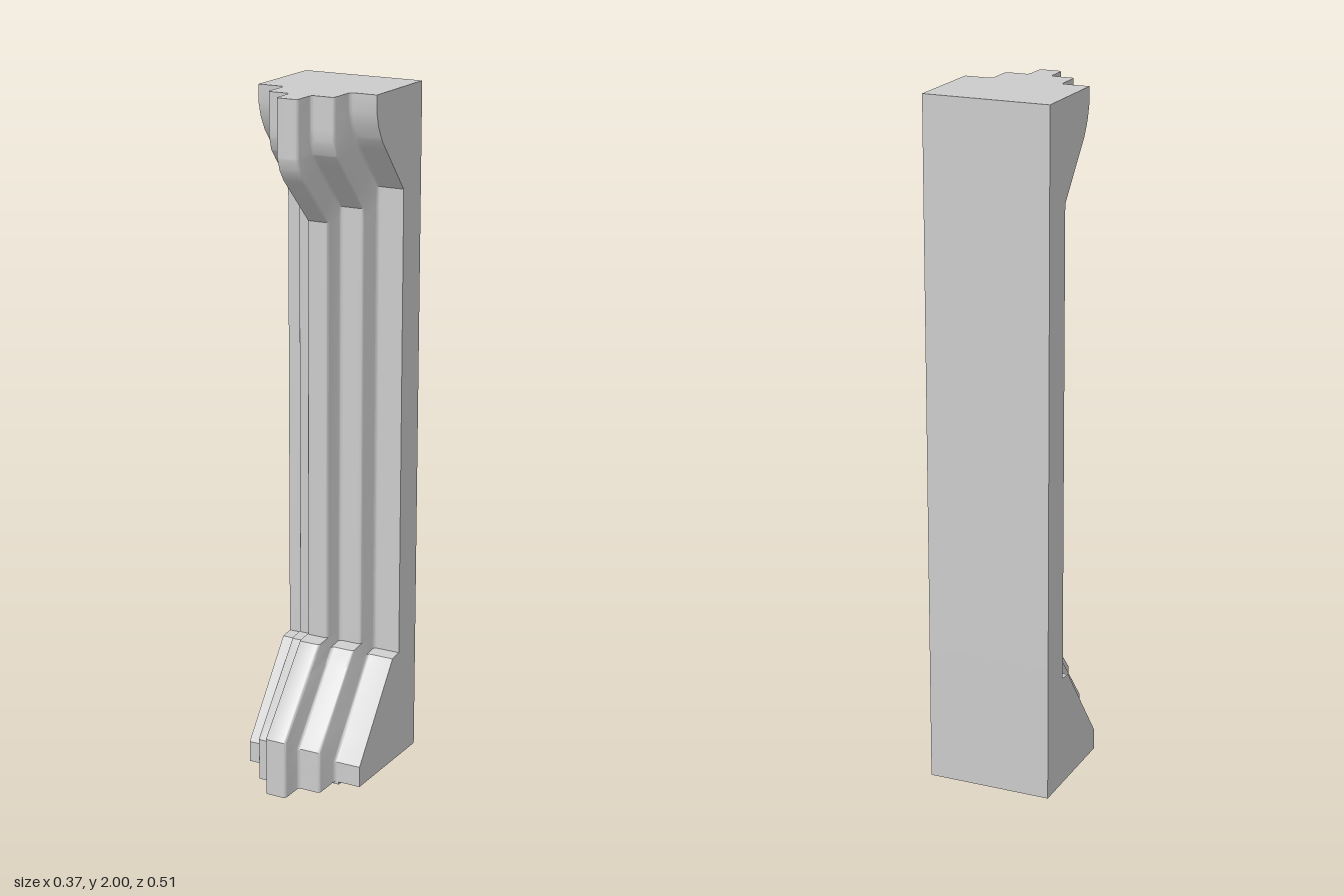
import * as THREE from 'three';
import { toCreasedNormals } from 'three/addons/utils/BufferGeometryUtils.js';

const BACK = -0.257, HALF = 0.183, MID = 0.102, INNER = 0.033, R = 0.01, BASE = 0.008;

// Front edge of each step as [y, z], from bottom to top
const OUTER_EDGE = [[BASE, 0.089], [0.07, 0.089], [0.333, -0.112], [0.338, -0.152], [1.715, -0.152],
  [1.87, -0.022], [1.91, -0.001], [1.95, 0.01], [2, 0.011]];
const MID_EDGE = [[BASE, 0.18], [0.132, 0.18], [0.375, -0.02], [0.38, -0.065], [1.668, -0.065],
  [1.81, 0.066], [1.84, 0.09], [1.88, 0.101], [2, 0.101]];
const INNER_EDGE = [[BASE, 0.257], [0.178, 0.257], [0.408, 0.058], [0.412, 0.01], [1.636, 0.01],
  [1.77, 0.143], [1.8, 0.164], [1.835, 0.177], [2, 0.177]];

function depthAt(edge, y) {
  for (let i = 1; i < edge.length; i++) {
    const [y0, z0] = edge[i - 1], [y1, z1] = edge[i];
    if (y <= y1) return z0 + (z1 - z0) * (y - y0) / (y1 - y0);
  }
  return edge[edge.length - 1][1];
}

// Stepped plan outline [x, z] at one height, with rounded step corners
function outlineAt(y) {
  const [z0, z1, z2] = [OUTER_EDGE, MID_EDGE, INNER_EDGE].map(e => depthAt(e, y));
  const half = [[HALF, BACK], [HALF, z0]];
  const corner = (cx, cz, from, to) => {
    for (let i = 0; i <= 4; i++) {
      const a = from + (to - from) * i / 4;
      half.push([cx + R * Math.cos(a), cz + R * Math.sin(a)]);
    }
  };
  const q = Math.PI / 2;
  corner(MID + R, z0 + R, -q, -2 * q);
  corner(MID - R, z1 - R, 0, q);
  corner(INNER + R, z1 + R, -q, -2 * q);
  corner(INNER - R, z2 - R, 0, q);
  return [...half, ...half.slice().reverse().map(([x, z]) => [-x, z])];
}

// Loft the outline through every height where an edge bends
function columnGeometry() {
  const heights = [...new Set([...OUTER_EDGE, ...MID_EDGE, ...INNER_EDGE].map(p => p[0]))].sort((a, b) => a - b);
  const rings = heights.map(outlineAt);
  const n = rings[0].length, pos = [], index = [];
  rings.forEach((ring, j) => ring.forEach(([x, z]) => pos.push(x, heights[j], z)));
  for (let j = 0; j < rings.length - 1; j++) {
    for (let i = 0; i < n; i++) {
      const a = j * n + i, b = j * n + (i + 1) % n;
      index.push(a, a + n, b, b, a + n, b + n);
    }
  }
  // Top and bottom caps
  for (const [j, up] of [[0, false], [rings.length - 1, true]]) {
    const pts = rings[j].map(([x, z]) => new THREE.Vector2(x, -z));
    for (const [a, b, c] of THREE.ShapeUtils.triangulateShape(pts, [])) {
      const ccw = THREE.ShapeUtils.area([pts[a], pts[b], pts[c]]) > 0;
      const tri = ccw === up ? [a, b, c] : [a, c, b];
      index.push(...tri.map(k => k + j * n));
    }
  }
  const geo = new THREE.BufferGeometry();
  geo.setAttribute('position', new THREE.Float32BufferAttribute(pos, 3));
  geo.setIndex(index);
  return toCreasedNormals(geo, 0.5);
}

export function createModel() {
  const group = new THREE.Group();
  group.name = 'steppedPilaster';
  const material = new THREE.MeshStandardMaterial({ color: 0xcccccc });

  const column = new THREE.Mesh(columnGeometry(), material);
  column.name = 'column';
  group.add(column);

  // Thin pads under the first step
  for (const side of [-1, 1]) {
    const pad = new THREE.Mesh(new THREE.BoxGeometry(0.02, BASE, 0.08), material);
    pad.position.set(side * 0.105, BASE / 2, 0.049);
    pad.name = side > 0 ? 'leftFootPad' : 'rightFootPad';
    group.add(pad);
  }
  return group;
}
